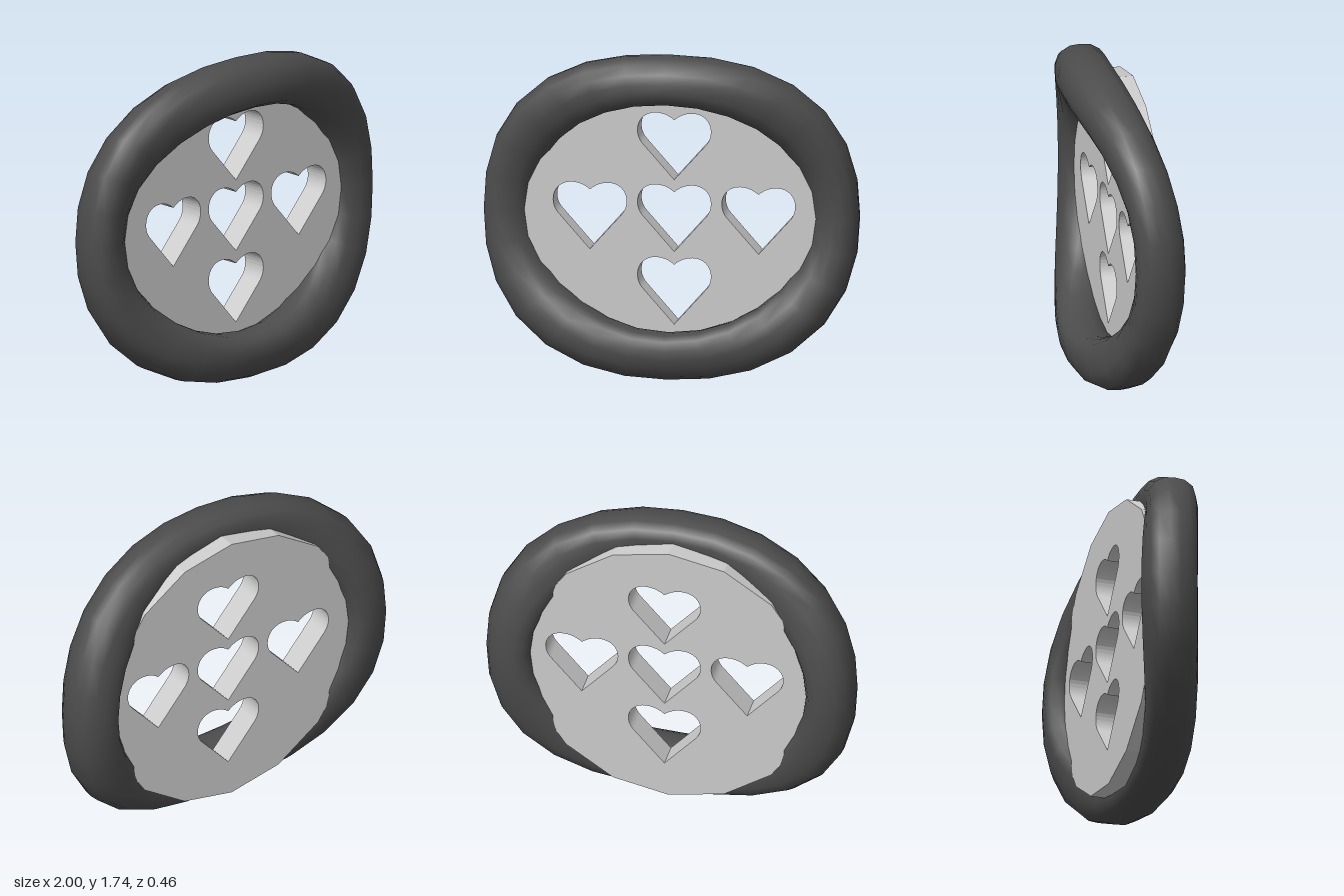
import * as THREE from 'three';

const CY = 0.87; // height of the centre

// point at angle t on a rounded oval (n = 2 is an ellipse, higher is squarer)
function oval(t, a, b, n) {
  const c = Math.cos(t), s = Math.sin(t);
  const r = (Math.abs(c) ** n + Math.abs(s) ** n) ** (-1 / n);
  return [a * c * r, b * s * r];
}

// saddle-bent rim: sides sweep back, top and bottom come forward
function rimGeometry(segments = 28, sides = 16) {
  const positions = [], index = [];
  for (let i = 0; i < segments; i++) {
    const t = (i / segments) * Math.PI * 2;
    const [ox, oy] = oval(t, 1, 0.87, 2.35);
    const [ix, iy] = oval(t, 0.75, 0.62, 2.03);
    const mx = (ox + ix) / 2, my = (oy + iy) / 2;
    const zc = 0.09 - 0.18 * (mx / 0.875) ** 2;
    for (let j = 0; j < sides; j++) {
      const [r, d] = oval((j / sides) * Math.PI * 2, 1, 0.135, 2.7);
      positions.push(mx + r * (ox - mx), CY + my + r * (oy - my), zc + d - 0.25 * r * zc);
      const i2 = (i + 1) % segments, j2 = (j + 1) % sides;
      const a = i * sides + j, b = i2 * sides + j, c = i2 * sides + j2, e = i * sides + j2;
      index.push(a, b, c, a, c, e);
    }
  }
  const g = new THREE.BufferGeometry();
  g.setAttribute('position', new THREE.Float32BufferAttribute(positions, 3));
  g.setIndex(index);
  g.computeVertexNormals();
  return g;
}

// heart-shaped hole, tip at (x, y)
function heart(x, y) {
  const p = new THREE.Path();
  p.moveTo(x, y);
  p.lineTo(x + 0.168, y + 0.19);
  p.quadraticCurveTo(x + 0.196, y + 0.222, x + 0.196, y + 0.265);
  p.bezierCurveTo(x + 0.196, y + 0.32, x + 0.155, y + 0.36, x + 0.1, y + 0.36);
  p.bezierCurveTo(x + 0.06, y + 0.36, x + 0.03, y + 0.347, x, y + 0.322);
  p.bezierCurveTo(x - 0.03, y + 0.347, x - 0.06, y + 0.36, x - 0.1, y + 0.36);
  p.bezierCurveTo(x - 0.155, y + 0.36, x - 0.196, y + 0.32, x - 0.196, y + 0.265);
  p.quadraticCurveTo(x - 0.196, y + 0.222, x - 0.168, y + 0.19);
  p.closePath();
  return p;
}

// flat sixteen-sided plate pierced by a cross of five hearts
function plateGeometry() {
  const outline = [];
  for (let i = 0; i < 16; i++) {
    const t = (i / 16) * Math.PI * 2;
    outline.push(new THREE.Vector2(0.79 * Math.cos(t), 0.862 + 0.79 * Math.sin(t)));
  }
  const shape = new THREE.Shape(outline);
  for (const [dx, dy] of [[0, 0], [-0.45, 0], [0.45, 0], [0, 0.388], [0, -0.392]]) {
    shape.holes.push(heart(0.022 + dx, 0.668 + dy));
  }
  const g = new THREE.ExtrudeGeometry(shape, { depth: 0.14, bevelEnabled: false, curveSegments: 8 });
  return g.translate(0, 0, -0.143);
}

export function createModel() {
  const group = new THREE.Group();
  const add = (name, geometry, color) => {
    const mesh = new THREE.Mesh(geometry, new THREE.MeshStandardMaterial({ color }));
    mesh.name = name;
    group.add(mesh);
  };
  add('rim', rimGeometry(), 0x4c4c4c);
  add('heartPlate', plateGeometry(), 0xcccccc);
  return group;
}
